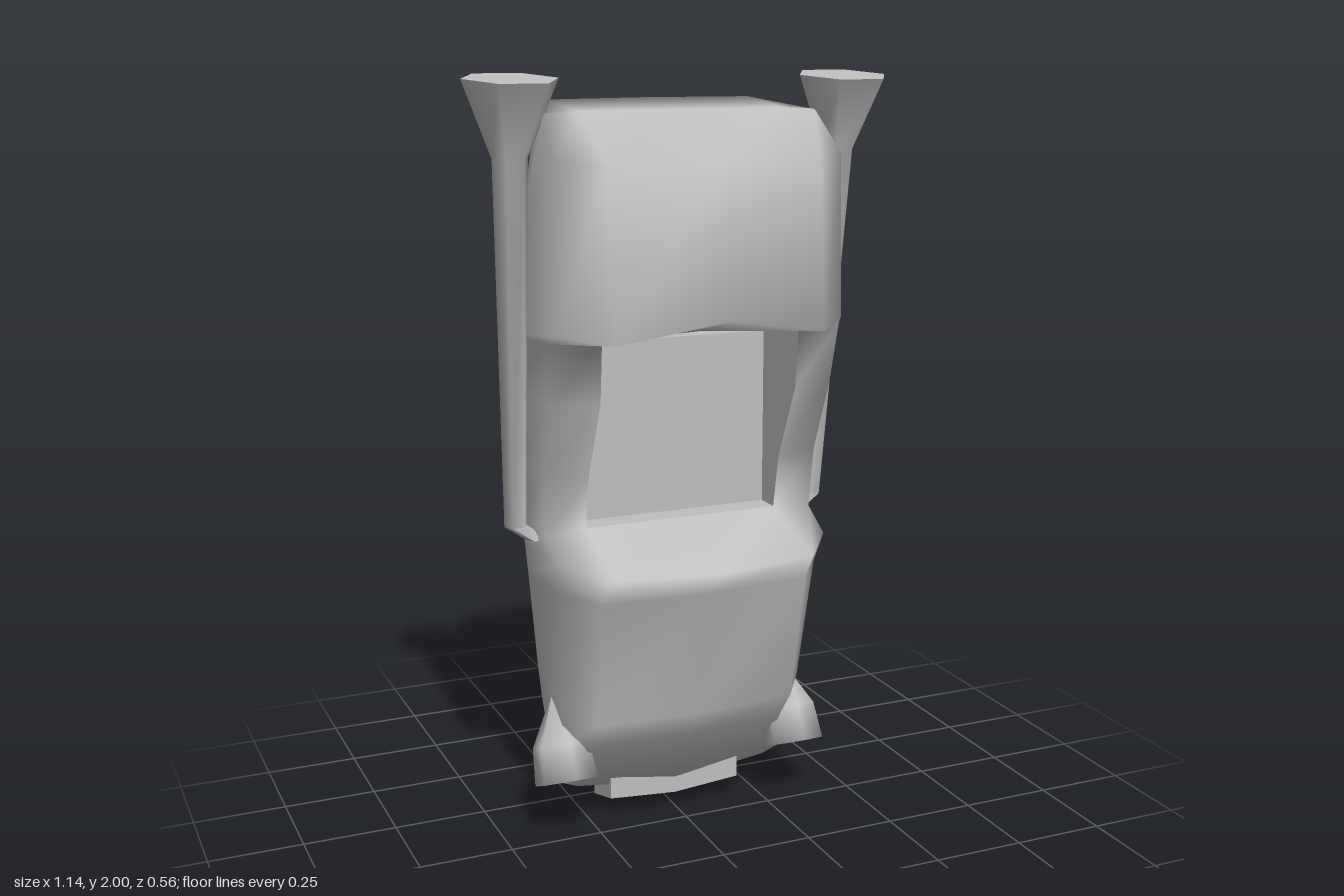
import * as THREE from 'three';
import { toCreasedNormals } from 'three/addons/utils/BufferGeometryUtils.js';

const grey = new THREE.MeshStandardMaterial({ color: 0xbfbfbf, side: THREE.DoubleSide });
grey.name = 'plain grey';

function part(name, geometry) {
  const mesh = new THREE.Mesh(geometry, grey);
  mesh.name = name;
  return mesh;
}

// Closed skin over rings of points; skip(r, c) leaves a quad out, caps list end faces
function loft(rings, caps, skip = () => false) {
  const n = rings[0].length, last = (rings.length - 1) * n, index = [];
  for (let r = 0; r < rings.length - 1; r++) {
    for (let c = 0; c < n; c++) {
      if (skip(r, c)) continue;
      const a = r * n + c, b = r * n + (c + 1) % n;
      index.push(a, b, b + n, a, b + n, a + n);
    }
  }
  for (const [a, b, c] of caps) index.push(last + a, last + b, last + c, a, c, b);
  const g = new THREE.BufferGeometry();
  g.setAttribute('position', new THREE.Float32BufferAttribute(rings.flat(2), 3));
  g.setIndex(index);
  g.computeVertexNormals();
  return g;
}

// Upper side of the car, nose to tail: centre [y, z], edge [x, y, z], shoulder [x, y, z]
const upper = [
  [0.07, -0.09, 0.28, 0.10, -0.10, 0.33, 0.12, -0.10],
  [0.25, 0.02, 0.28, 0.25, 0.00, 0.335, 0.25, -0.06],
  [0.34, 0.095, 0.28, 0.34, 0.07, 0.345, 0.36, -0.02],
  [0.69, 0.15, 0.29, 0.69, 0.125, 0.365, 0.70, 0.03],
  [0.77, 0.24, 0.28, 0.77, 0.19, 0.372, 0.79, 0.07],
  [0.85, -0.03, 0.27, 0.85, -0.03, 0.378, 0.84, -0.03],
  [1.00, 0.00, 0.27, 1.00, 0.00, 0.385, 1.00, -0.02],
  [1.20, 0.09, 0.27, 1.20, 0.09, 0.392, 1.20, 0.05],
  [1.37, 0.105, 0.27, 1.36, 0.105, 0.40, 1.36, 0.08],
  [1.42, 0.28, 0.28, 1.37, 0.23, 0.395, 1.38, 0.10],
  [1.79, 0.24, 0.28, 1.79, 0.19, 0.385, 1.80, 0.10],
  [1.91, -0.02, 0.28, 1.91, -0.02, 0.37, 1.905, -0.02],
];
// Heights of the underside rows between nose and tail
const underY = [0, 0.32, 0.42, 0.69, 0.77, 0.85, 1.0, 1.2, 1.34, 1.38, 1.48];

function bodyRing(row, i) {
  const [yF, zF, xE, yE, zE, xS, yS, zS] = row;
  let B, K, C;
  if (i === 0) {
    B = [0.333, 0.13, -0.12]; K = [0.28, 0.08, -0.20]; C = [0, 0.05, -0.21];
  } else if (i === upper.length - 1) {
    B = [0.372, 1.905, -0.06]; K = [0.28, 1.93, -0.235]; C = [0, 1.93, -0.28];
  } else {
    const y = underY[i], z = -0.2 - 0.02 * y;
    B = [xS + 0.004, y, z]; K = [0.28, y, z - 0.003]; C = [0, y, z - 0.005];
  }
  const side = [[xE, yE, zE], [xS, yS, zS], B, K];
  const mirrored = side.map(([x, y, z]) => [-x, y, z]).reverse();
  return [[0, yF, zF], ...side, C, ...mirrored];
}

function createBody() {
  const caps = [[0, 1, 4], [0, 4, 5], [1, 2, 3], [1, 3, 4],
    [0, 5, 6], [0, 6, 9], [9, 6, 7], [9, 7, 8]];
  const opening = (r, c) => r >= 5 && r <= 7 && (c === 0 || c === 9);
  return part('body', loft(upper.map(bodyRing), caps, opening));
}

// Sunken cockpit: walls from the rim down to a flat floor
function createCockpit() {
  const floor = -0.1;
  const rings = upper.slice(5, 9).map(([, , x, y, z]) =>
    [[-x, y, z], [-x, y, floor], [x, y, floor], [x, y, z]]);
  const g = loft(rings, [[0, 1, 2], [0, 2, 3]], (r, c) => c === 3);
  return part('cockpit', toCreasedNormals(g, 0.9));
}

// Six-sided ring, optionally tilted so its height follows z
function hexRing(x, y, z, radius, tilt = 0) {
  return Array.from({ length: 6 }, (_, i) => {
    const a = -i * Math.PI / 3, dz = Math.sin(a) * radius;
    return [x + Math.cos(a) * radius, y + tilt * dz, z + dz];
  });
}

// Exhaust stack with a bent foot and a flared mouth
function createExhaust(side) {
  const rings = [
    hexRing(side * 0.375, 0.81, -0.12, 0.028),
    hexRing(side * 0.43, 0.85, -0.125, 0.03),
    hexRing(side * 0.448, 1.8, -0.04, 0.046),
    hexRing(side * 0.449, 1.99, -0.02, 0.123, -0.09),
  ];
  const caps = [[0, 1, 2], [0, 2, 3], [0, 3, 4], [0, 4, 5]];
  return part(side > 0 ? 'leftExhaust' : 'rightExhaust',
    toCreasedNormals(loft(rings, caps), 1.2));
}

// Tapered headlight pod pointing forward past the nose
function createHeadlight(side) {
  const profile = [[0, 0], [0.086, 0], [0.078, 0.1], [0, 0.245]]
    .map(([r, y]) => new THREE.Vector2(r, y));
  const pod = part(side > 0 ? 'leftHeadlight' : 'rightHeadlight',
    new THREE.LatheGeometry(profile, 6));
  pod.position.set(side * 0.337, 0.155, -0.025);
  pod.rotation.x = -0.42;
  return pod;
}

// Pointed bumper under the nose, sheared to follow it
function createBumper() {
  const outline = [[-0.19, 0.055], [0, 0.04], [0.19, 0.055], [0.19, 0.115], [0, 0.1], [-0.19, 0.115]];
  const shape = new THREE.Shape(outline.map(([x, y]) => new THREE.Vector2(x, y)));
  const g = new THREE.ExtrudeGeometry(shape, { depth: 0.13, bevelEnabled: false });
  const p = g.attributes.position;
  for (let i = 0; i < p.count; i++) {
    const z = p.getZ(i) - 0.21;
    p.setXYZ(i, p.getX(i), p.getY(i) + (z + 0.08) * 0.3, z);
  }
  g.computeVertexNormals();
  return part('bumper', g);
}

export function createModel() {
  const model = new THREE.Group();
  model.name = 'car';
  model.add(createBody(), createCockpit(), createBumper());
  for (const side of [-1, 1]) model.add(createExhaust(side), createHeadlight(side));
  return model;
}
